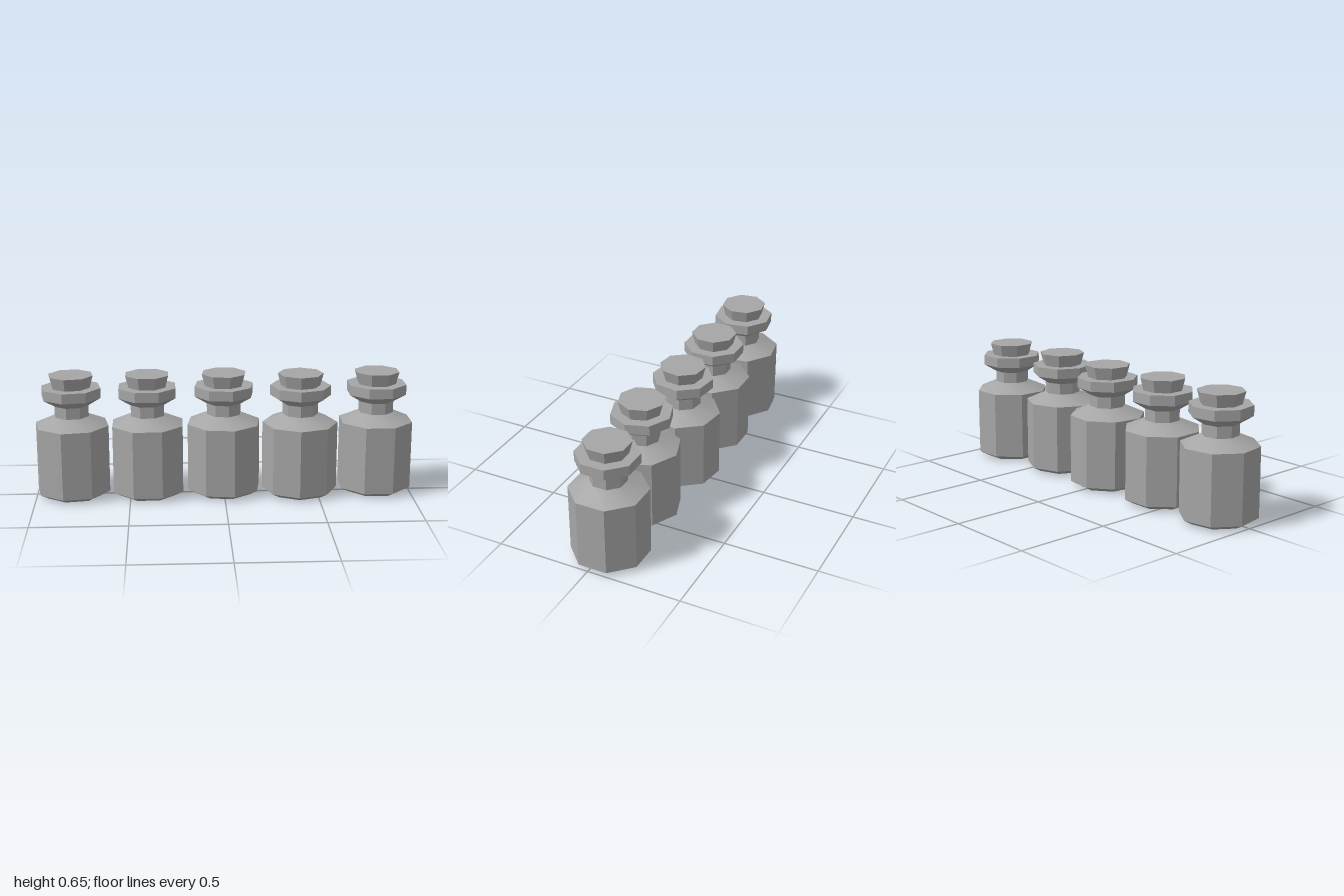
import * as THREE from 'three';
import { toCreasedNormals } from 'three/addons/utils/BufferGeometryUtils.js';

export function createModel() {
  const model = new THREE.Group();
  model.name = 'bottleRow';

  const grey = new THREE.MeshStandardMaterial({ color: 0xa6a6a6, side: THREE.DoubleSide });
  grey.name = 'plain grey';

  const SIDES = 8;
  const CREASE = Math.PI / 6; // soft shoulders, sharp walls

  // Bottle shell, open underneath: foot, wall, shoulder, neck, lip
  const profile = [
    [0.155, 0], [0.2, 0.025], [0.2, 0.388], [0.094, 0.435],
    [0.094, 0.495], [0.161, 0.537], [0.161, 0.59], [0.08, 0.59],
  ].map(([r, y]) => new THREE.Vector2(r, y));
  const bottleGeometry = toCreasedNormals(new THREE.LatheGeometry(profile, SIDES), CREASE);

  // Tapered stopper
  const stopperGeometry = toCreasedNormals(
    new THREE.CylinderGeometry(0.121, 0.104, 0.065, SIDES), CREASE);
  stopperGeometry.translate(0, 0.59 + 0.065 / 2, 0);

  // x, z and turn in degrees of each bottle
  const places = [
    [-0.805, -0.01, -13],
    [-0.405, -0.01, 22.5],
    [0, -0.02, 14.5],
    [0.405, 0.008, -4],
    [0.815, -0.027, 22.5],
  ];

  places.forEach(([x, z, turn], i) => {
    const unit = new THREE.Group();
    unit.name = `stopperedBottle${i + 1}`;
    const bottle = new THREE.Mesh(bottleGeometry, grey);
    bottle.name = 'bottle';
    const stopper = new THREE.Mesh(stopperGeometry, grey);
    stopper.name = 'stopper';
    unit.add(bottle, stopper);
    unit.position.set(x, 0, z);
    unit.rotation.y = THREE.MathUtils.degToRad(turn);
    model.add(unit);
  });

  return model;
}
